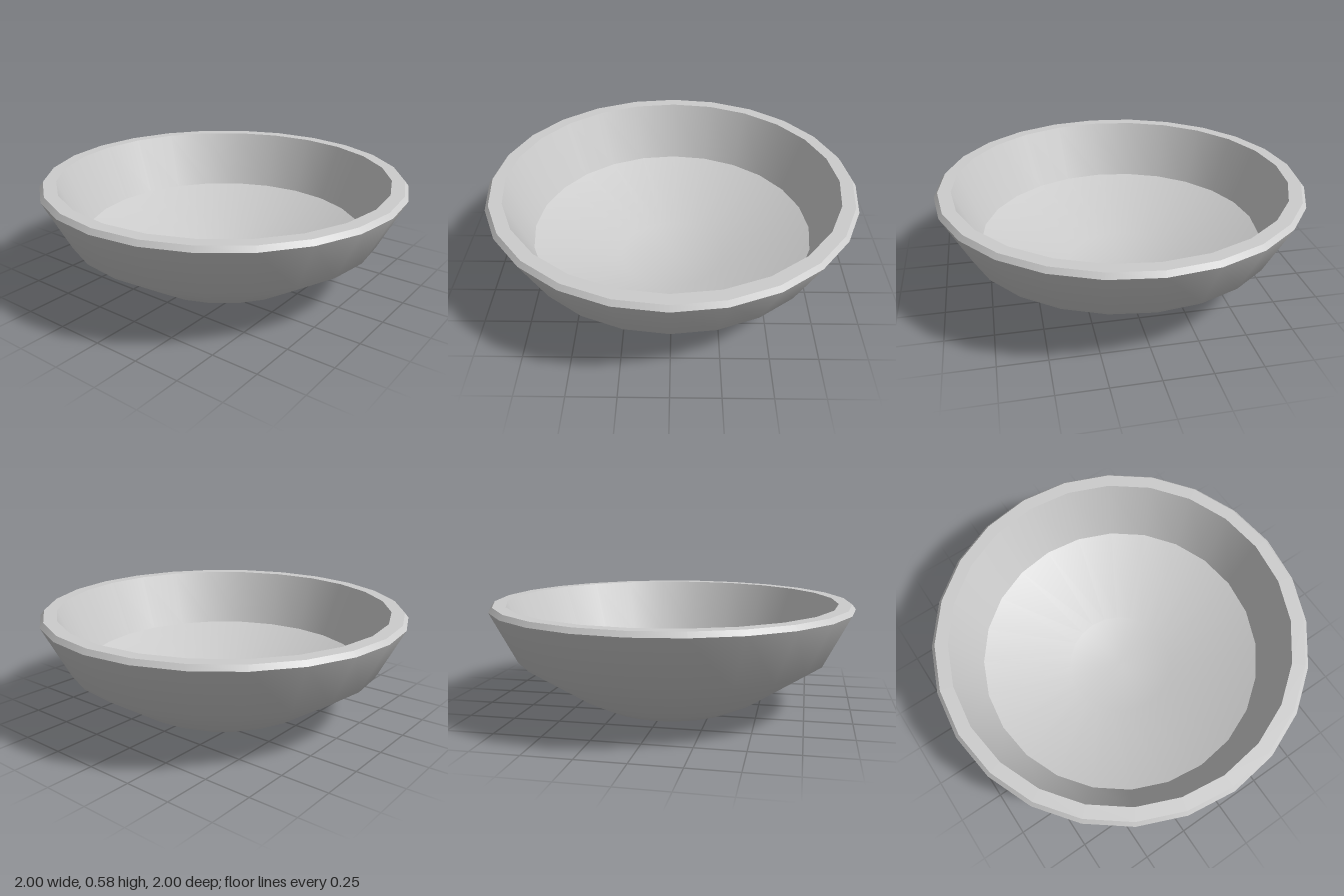
import * as THREE from 'three';

const SIDES = 24;
const material = new THREE.MeshStandardMaterial({ color: 0xcccccc });

// Smooth turned band; separate bands meet in a sharp edge
function band(name, profile) {
  const points = profile.map(([r, y]) => new THREE.Vector2(r, y));
  const mesh = new THREE.Mesh(new THREE.LatheGeometry(points, SIDES), material);
  mesh.name = name;
  return mesh;
}

export function createModel() {
  const bowl = new THREE.Group();
  bowl.name = 'bowl';

  bowl.add(
    // Underside and flared outer wall
    band('outerShell', [[0, 0], [0.4, 0], [0.53, 0.065], [0.86, 0.285], [1, 0.56]]),
    // Bevelled lip and flat rim
    band('rimBevel', [[1, 0.56], [0.98, 0.585]]),
    band('rimTop', [[0.98, 0.585], [0.91, 0.585]]),
    // Steep inner wall above a shallow dished floor
    band('innerWall', [[0.91, 0.585], [0.78, 0.27]]),
    band('dishedFloor', [[0.78, 0.27], [0.3, 0.08], [0, 0.08]]),
  );
  return bowl;
}
